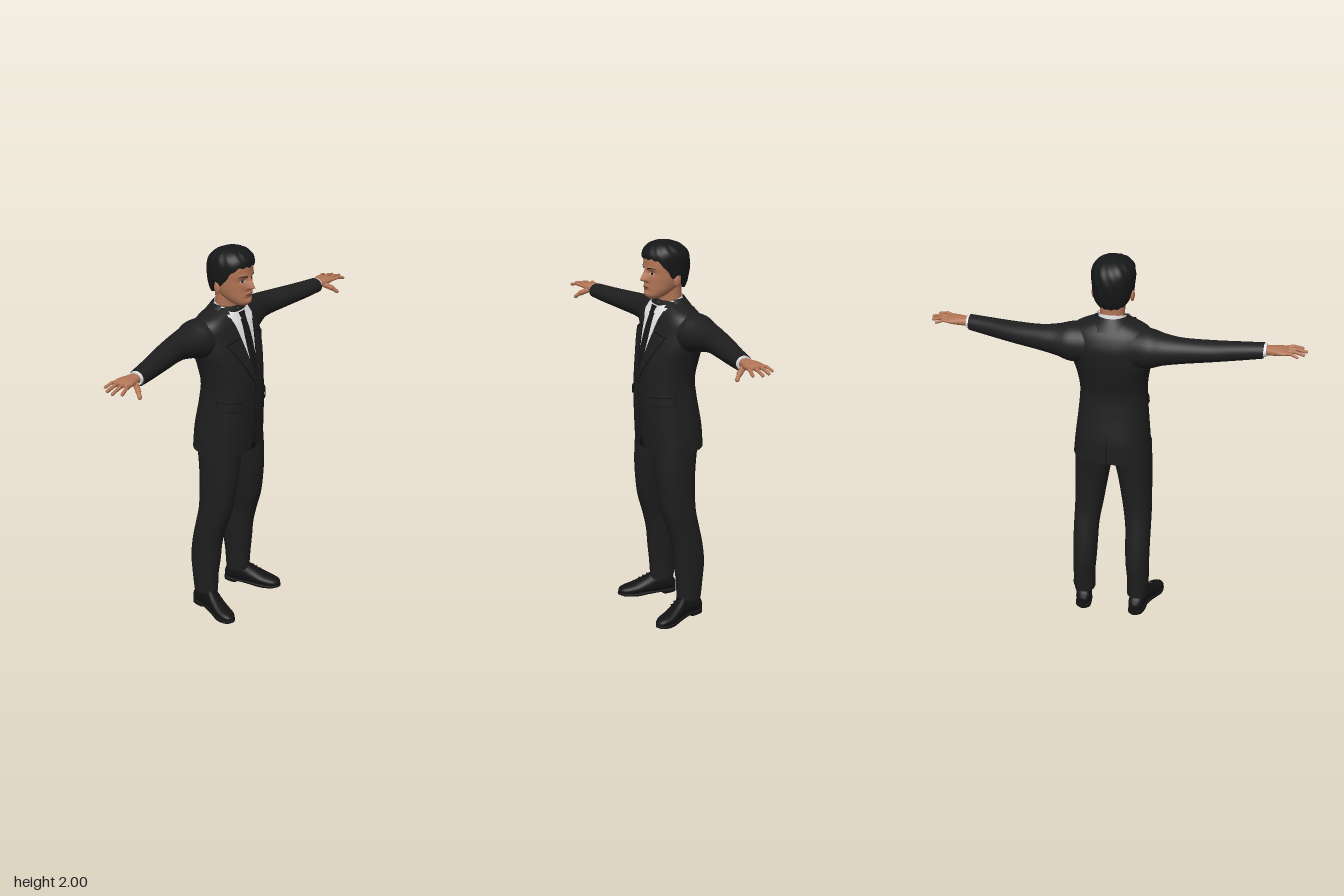
import * as THREE from 'three';
import { mergeGeometries } from 'three/addons/utils/BufferGeometryUtils.js';

const mat = (name, color, side = THREE.FrontSide) => {
  const m = new THREE.MeshStandardMaterial({ color, side });
  m.name = name;
  return m;
};

// Smooth interpolation through rows of [key, values...]
function sample(rows, k) {
  const n = rows.length;
  k = Math.min(Math.max(k, rows[0][0]), rows[n - 1][0]);
  let i = 0;
  while (i < n - 2 && k > rows[i + 1][0]) i++;
  const slope = (j, c) => {
    const a = rows[Math.max(j - 1, 0)], b = rows[Math.min(j + 1, n - 1)];
    return (b[c] - a[c]) / (b[0] - a[0]);
  };
  const h = rows[i + 1][0] - rows[i][0], t = (k - rows[i][0]) / h, t2 = t * t, t3 = t2 * t;
  return rows[i].map((v, c) => (2 * t3 - 3 * t2 + 1) * v + (3 * t2 - 2 * t3) * rows[i + 1][c]
    + h * ((t3 - 2 * t2 + t) * slope(i, c) + (t3 - t2) * slope(i + 1, c)));
}

// Surface grid from fn(u, v); optionally closed round u and capped at both ends
function grid(fn, nu, nv, { wrap = false, flip = false, caps = false } = {}) {
  const pos = [], idx = [], cols = wrap ? nu : nu + 1;
  const tri = (a, b, c) => (flip ? idx.push(a, c, b) : idx.push(a, b, c));
  for (let j = 0; j <= nv; j++) for (let i = 0; i < cols; i++) pos.push(...fn(i / nu, j / nv));
  for (let j = 0; j < nv; j++) for (let i = 0; i < nu; i++) {
    const a = j * cols + i, b = j * cols + (i + 1) % cols;
    tri(a, b, b + cols);
    tri(a, b + cols, a + cols);
  }
  if (caps) for (const v of [0, 1]) {
    const s = pos.length / 3, mid = [0, 0, 0];
    for (let i = 0; i < nu; i++) {
      const p = fn(i / nu, v);
      pos.push(...p);
      p.forEach((q, c) => (mid[c] += q / nu));
    }
    pos.push(...mid);
    for (let i = 0; i < nu; i++) {
      const a = s + i, b = s + (i + 1) % nu;
      v ? tri(a, b, s + nu) : tri(b, a, s + nu);
    }
  }
  const g = new THREE.BufferGeometry();
  g.setAttribute('position', new THREE.Float32BufferAttribute(pos, 3));
  g.setIndex(idx);
  g.computeVertexNormals();
  return g;
}

// Body rows: [key, half width, back, front, sideways centre]; n is the squareness
const body = (rows, n = 2, bump = null) => ({ rows, n, bump });
const pow = (v, e) => Math.sign(v) * Math.abs(v) ** e;
function point(b, a, k, off = 0) {
  const [, w, zb, zf, cx = 0] = sample(b.rows, k), e = 2 / b.n, c = Math.cos(a);
  const x = cx + (w + off) * pow(Math.sin(a), e);
  let z = (zf + zb) / 2 + ((zf - zb) / 2 + off) * pow(c, e);
  if (b.bump && c > 0) z += b.bump(x, k);
  return [x, k, z];
}
const axes = { y: p => p, x: ([a, k, c]) => [k, a, c], z: ([a, k, c]) => [a, c, k] };
function loft(b, nu, nv, axis = 'y') {
  const k0 = b.rows[0][0], k1 = b.rows[b.rows.length - 1][0];
  return grid((u, v) => axes[axis](point(b, u * 2 * Math.PI, k0 + (k1 - k0) * v)), nu, nv,
    { wrap: true, caps: true, flip: axis !== 'y' });
}
// Thin plate laid on a body; fn(u, v) gives [x, y]
function patch(b, fn, off, { nu = 10, nv = 14, back = false } = {}) {
  return grid((u, v) => {
    const [x, y] = fn(u, v), w = sample(b.rows, y)[1];
    const a = Math.asin(Math.min(1, Math.abs(x / w) ** (b.n / 2))) * Math.sign(x);
    return point(b, back ? Math.PI - a : a, y, off);
  }, nu, nv, { flip: back });
}
const quad = (a, b, c, d) => (u, v) => [0, 1].map(i =>
  (a[i] * (1 - u) + b[i] * u) * (1 - v) + (d[i] * (1 - u) + c[i] * u) * v);
const lens = (cx, cy, hw, hh) => (u, v) => {
  const s = 2 * u - 1;
  return [cx + hw * s, cy + hh * (2 * v - 1) * Math.sqrt(Math.max(0, 1 - s * s))];
};
const band = (half, y0, y1) => (u, v) => [half(v) * (2 * u - 1), y0 + (y1 - y0) * v];

function mirrored(geo) {
  const g = geo.clone().scale(-1, 1, 1), ix = g.index.array;
  for (let i = 0; i < ix.length; i += 3) [ix[i], ix[i + 1]] = [ix[i + 1], ix[i]];
  g.computeVertexNormals();
  return g;
}
// Rounded bar between two points
function bar(a, b, r) {
  const p = new THREE.Vector3(...a), q = new THREE.Vector3(...b), d = q.clone().sub(p);
  const turn = new THREE.Quaternion().setFromUnitVectors(new THREE.Vector3(0, 1, 0), d.clone().normalize());
  const m = p.add(q).multiplyScalar(0.5);
  return new THREE.CapsuleGeometry(r, d.length(), 5, 10).applyQuaternion(turn).translate(m.x, m.y, m.z);
}
const ball = (x, y, z, sx, sy, sz) => new THREE.SphereGeometry(1, 16, 12).scale(sx, sy, sz).translate(x, y, z);

export function createModel() {
  const root = new THREE.Group();
  root.name = 'suitedMan';
  const D = THREE.DoubleSide;
  const suit = mat('suit', 0x1e1e1f, D), seam = mat('seam', 0x101011, D), hairMat = mat('hair', 0x161718, D);
  const skin = mat('skin', 0xb37657), lip = mat('lips', 0x99584a, D), white = mat('shirt', 0xe4e4e6, D);
  const tieMat = mat('tie', 0x16171a, D), leather = mat('shoeLeather', 0x131313), eyeMat = mat('eyeWhite', 0xb9aaa0, D);
  const add = (name, geo, m) => {
    const mesh = new THREE.Mesh(geo, m);
    mesh.name = name;
    root.add(mesh);
  };
  const pair = (name, geo, m) => {
    add(name + 'Left', geo, m);
    add(name + 'Right', mirrored(geo), m);
  };

  // Jacket body
  const torso = body([[0.94, 0.2, -0.17, 0.14], [1.05, 0.19, -0.165, 0.148], [1.2, 0.175, -0.14, 0.155],
    [1.3, 0.17, -0.13, 0.153], [1.4, 0.183, -0.148, 0.142], [1.48, 0.203, -0.162, 0.122], [1.56, 0.208, -0.166, 0.1],
    [1.62, 0.205, -0.147, 0.08], [1.655, 0.175, -0.125, 0.062], [1.685, 0.1, -0.1, 0.048], [1.7, 0.06, -0.085, 0.035]], 2.3);
  add('jacket', loft(torso, 56, 60), suit);

  // Sleeves
  pair('sleeve', loft(body([[0.1, 0.1, -0.15, 0.05, 1.555], [0.2, 0.098, -0.163, 0.04, 1.56], [0.26, 0.08, -0.15, 0.02, 1.563],
    [0.35, 0.065, -0.133, 0, 1.566], [0.5, 0.053, -0.1, 0.022, 1.567], [0.65, 0.045, -0.055, 0.045, 1.569],
    [0.745, 0.039, -0.03, 0.06, 1.572]]), 32, 36, 'x'), suit);
  pair('shirtCuff', loft(body([[0.73, 0.034, -0.025, 0.054, 1.573], [0.758, 0.033, -0.022, 0.053, 1.574]]), 28, 2, 'x'), white);

  // Shirt front, tie, lapels and collars
  add('shirtFront', patch(torso, band(v => 0.004 + 0.08 * v, 1.34, 1.675), 0.003), white);
  add('tieBlade', patch(torso, band(v => 0.012 + 0.014 * Math.sin(v * 2.6), 1.33, 1.64), 0.007), tieMat);
  add('tieKnot', patch(torso, band(v => 0.014 + 0.009 * v, 1.63, 1.675), 0.014), tieMat);
  pair('lapelEdge', patch(torso, quad([0, 1.33], [0.016, 1.318], [0.142, 1.543], [0.055, 1.566]), 0.005), seam);
  pair('lapel', patch(torso, quad([0, 1.335], [0.012, 1.325], [0.135, 1.54], [0.054, 1.56]), 0.009), suit);
  pair('collarLapel', patch(torso, quad([0.054, 1.56], [0.122, 1.572], [0.095, 1.675], [0.076, 1.66]), 0.009), suit);
  pair('shirtCollarPoint', patch(torso, quad([0.05, 1.61], [0.076, 1.645], [0.064, 1.688], [0.014, 1.676]), 0.012), white);
  const collar = body([[1.65, 0.14, -0.134, 0.07], [1.69, 0.09, -0.108, 0.055], [1.71, 0.075, -0.094, 0.05]]);
  add('jacketCollar', grid((u, v) => point(collar, (0.4 + 1.2 * u) * Math.PI, 1.65 + 0.06 * v), 28, 6), suit);
  add('shirtCollar', grid((u, v) => {
    const a = u * 2 * Math.PI, c = Math.cos(a);
    return [(0.078 - 0.01 * v) * Math.sin(a), 1.655 + 0.052 * v - 0.018 * c, -0.018 + (0.07 - 0.006 * v) * c];
  }, 36, 4, { wrap: true }), white);

  // Jacket details: opening, front cutaway, buttons, pockets and back vent
  add('frontOpening', patch(torso, band(() => 0.002, 1.06, 1.33), 0.003, { nu: 2 }), seam);
  add('frontCutaway', patch(torso, band(v => 0.002 + 0.028 * (1 - v) ** 3, 0.942, 1.06), 0.002), seam);
  for (const y of [1.3, 1.2]) add('button', ball(0.008, y, 0.158, 0.008, 0.008, 0.004), seam);
  pair('pocketShadow', patch(torso, quad([0.088, 1.183], [0.171, 1.191], [0.171, 1.238], [0.088, 1.234]), 0.003), seam);
  pair('pocketFlap', patch(torso, quad([0.091, 1.188], [0.17, 1.196], [0.17, 1.235], [0.091, 1.231]), 0.007), suit);
  add('backVent', patch(torso, band(() => 0.002, 0.942, 1.1), 0.002, { nu: 2, back: true }), seam);

  // Trousers
  pair('trouserLeg', loft(body([[0.1, 0.055, -0.12, 0.01, 0.145], [0.2, 0.057, -0.13, 0.016, 0.147], [0.3, 0.061, -0.14, 0.028, 0.143],
    [0.4, 0.064, -0.13, 0.037, 0.141], [0.5, 0.066, -0.11, 0.06, 0.139], [0.6, 0.073, -0.092, 0.09, 0.131],
    [0.7, 0.08, -0.09, 0.106, 0.122], [0.8, 0.088, -0.094, 0.115, 0.113], [0.9, 0.097, -0.105, 0.116, 0.103],
    [1, 0.099, -0.12, 0.11, 0.1]], 2.2), 32, 44), suit);

  // Shoes: upper, sole and laces
  pair('shoe', loft(body([[-0.13, 0.018, 0.015, 0.06, 0.143], [-0.115, 0.036, 0.014, 0.09, 0.144], [-0.07, 0.042, 0.012, 0.115, 0.148],
    [-0.01, 0.043, 0.012, 0.122, 0.16], [0.04, 0.046, 0.012, 0.092, 0.18], [0.09, 0.048, 0.01, 0.066, 0.198],
    [0.14, 0.04, 0.01, 0.052, 0.21], [0.165, 0.025, 0.012, 0.042, 0.214], [0.175, 0.006, 0.018, 0.03, 0.215]], 2.3), 28, 32, 'z'), leather);
  pair('sole', loft(body([[-0.132, 0.016, 0, 0.026, 0.143], [-0.115, 0.038, 0, 0.026, 0.144], [-0.05, 0.043, 0, 0.026, 0.151],
    [-0.04, 0.043, 0.013, 0.026, 0.153], [0.03, 0.046, 0.008, 0.024, 0.177], [0.09, 0.051, 0.001, 0.02, 0.198],
    [0.14, 0.043, 0.003, 0.02, 0.21], [0.165, 0.028, 0.006, 0.022, 0.214], [0.178, 0.007, 0.01, 0.022, 0.215]], 5), 28, 36, 'z'), leather);
  pair('laces', mergeGeometries([0, 1, 2].map(i => {
    const x = 0.169 + 0.007 * i, y = 0.112 - 0.011 * i, z = 0.022 + 0.02 * i;
    return bar([x - 0.017, y, z], [x + 0.017, y, z - 0.004], 0.004);
  })), seam);

  // Hands
  pair('palm', loft(body([[0.745, 0.023, -0.012, 0.042, 1.575], [0.78, 0.022, -0.02, 0.05, 1.577], [0.82, 0.019, -0.032, 0.06, 1.58],
    [0.85, 0.014, -0.034, 0.064, 1.581], [0.868, 0.006, -0.028, 0.056, 1.581]], 2.3), 24, 14, 'x'), skin);
  const fingers = [[0.053, 0.925, 0.078], [0.028, 0.947, 0.04], [0.002, 0.937, 0.001], [-0.022, 0.91, -0.035]].flatMap(([z0, x, z], i) => {
    const r = i === 3 ? 0.008 : 0.0095, m = [(0.845 + x) / 2, 1.585, (z0 + z) / 2 + 0.002];
    return [bar([0.845, 1.581, z0], m, r), bar(m, [x, 1.574, z], r * 0.87)];
  });
  fingers.push(bar([0.785, 1.572, 0.035], [0.815, 1.55, 0.078], 0.014), bar([0.815, 1.55, 0.078], [0.832, 1.53, 0.1], 0.0105));
  pair('fingers', mergeGeometries(fingers), skin);

  // Neck and head with modelled nose, eye sockets, lips and chin
  add('neck', loft(body([[1.62, 0.066, -0.08, 0.04], [1.7, 0.061, -0.077, 0.036], [1.75, 0.062, -0.078, 0.045], [1.8, 0.066, -0.08, 0.06]]), 32, 10), skin);
  const hill = (x, y, cx, cy, sx, sy, h) => h * Math.exp(-(((x - cx) / sx) ** 2) - ((y - cy) / sy) ** 2);
  const face = (x, y) => {
    const ax = Math.abs(x), t = (y - 1.81) / 0.062;
    const nose = t > 0 ? Math.max(0, 1 - t) ** 0.9 : Math.max(0, 1 + t * 4.5);
    return 0.036 * nose * Math.exp(-((x / (0.016 - 0.006 * Math.max(0, Math.min(1, t)))) ** 2))
      + hill(ax, y, 0.036, 1.847, 0.019, 0.012, -0.009) + hill(ax, y, 0.034, 1.872, 0.025, 0.009, 0.004)
      + hill(x, y, 0, 1.775, 0.023, 0.01, 0.007) + hill(x, y, 0, 1.757, 0.02, 0.006, -0.003) + hill(x, y, 0, 1.736, 0.026, 0.013, 0.006);
  };
  const head = body([[1.715, 0.03, 0.04, 0.1], [1.73, 0.05, 0.005, 0.112], [1.76, 0.07, -0.045, 0.114], [1.79, 0.081, -0.08, 0.113],
    [1.82, 0.088, -0.095, 0.113], [1.85, 0.092, -0.1, 0.112], [1.88, 0.095, -0.1, 0.114], [1.92, 0.094, -0.1, 0.111],
    [1.96, 0.078, -0.08, 0.088], [1.985, 0.045, -0.04, 0.05]], 2.15, face);
  add('head', loft(head, 96, 76), skin);
  pair('ear', ball(0.096, 1.81, -0.008, 0.011, 0.031, 0.019).rotateY(0), skin);
  pair('eye', patch(head, lens(0.037, 1.845, 0.016, 0.006), 0.002), eyeMat);
  pair('iris', patch(head, lens(0.037, 1.845, 0.0065, 0.006), 0.003), hairMat);
  pair('eyebrow', patch(head, (u, v) => [0.016 + 0.045 * u, 1.862 + 0.009 * Math.sin(u * 2.4) + 0.007 * v * (1 - 0.6 * u)], 0.002), hairMat);
  add('lips', patch(head, lens(0, 1.774, 0.027, 0.008), 0.0015), lip);
  add('mouthLine', patch(head, lens(0, 1.775, 0.025, 0.001), 0.0025), seam);

  // Hair: cap with a shaped hairline, sideburns and gentle waves
  const hairline = [[0, 1.917], [40, 1.915], [58, 1.888], [72, 1.85], [85, 1.822], [95, 1.838], [108, 1.832], [120, 1.79], [140, 1.766], [180, 1.756]];
  const hair = body([[1.74, 0.07, -0.083, 0.09], [1.77, 0.088, -0.098, 0.1], [1.8, 0.098, -0.109, 0.112], [1.85, 0.103, -0.118, 0.117],
    [1.9, 0.107, -0.118, 0.122], [1.94, 0.103, -0.106, 0.12], [1.97, 0.084, -0.078, 0.099], [1.99, 0.05, -0.035, 0.064], [2, 0.003, 0.01, 0.016]], 2.1);
  add('hair', grid((u, v) => {
    const a = u * 2 * Math.PI, deg = Math.abs(u < 0.5 ? u : 1 - u) * 360;
    const t = Math.max(0, v - 0.03) / 0.97, low = sample(hairline, deg)[1] + 0.004 * Math.sin(a * 17);
    const y = low + (2 - low) * (1 - (1 - t) ** 2);
    const wave = 0.002 * Math.sin(a * 13 + y * 60) * Math.sin(Math.PI * t);
    return point(hair, a, y, v === 0 ? -0.016 : wave);
  }, 96, 40, { wrap: true }), hairMat);

  return root;
}
